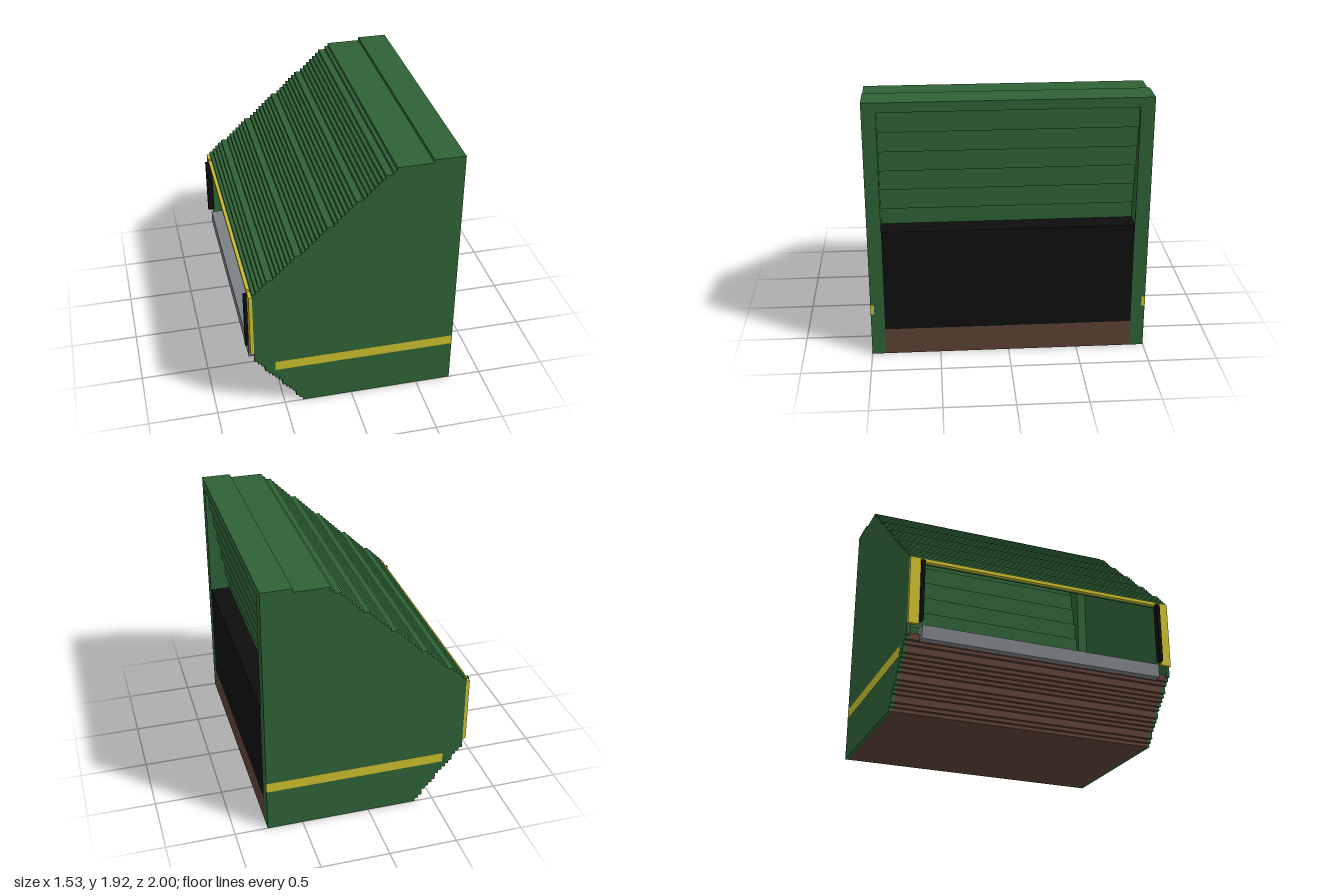
import * as THREE from 'three';

const U = 0.025; // step size of the staircase outlines

export function createModel() {
  const group = new THREE.Group();
  const mat = (name, color) => {
    const m = new THREE.MeshStandardMaterial({ color });
    m.name = name;
    return m;
  };
  const green = mat('green', 0x2d6135);
  const yellow = mat('yellow', 0xc9bc2d);
  const black = mat('black', 0x0e0e0e);
  const brown = mat('brown', 0x5c4033);
  const grey = mat('grey', 0x7b8084);

  const add = (name, geometry, material) => {
    const mesh = new THREE.Mesh(geometry, material);
    mesh.name = name;
    group.add(mesh);
    return mesh;
  };
  // Box given by its limits
  const box = (name, material, x0, x1, y0, y1, z0, z1) => {
    const g = new THREE.BoxGeometry(x1 - x0, y1 - y0, z1 - z0);
    g.translate((x0 + x1) / 2, (y0 + y1) / 2, (z0 + z1) / 2);
    return add(name, g, material);
  };
  // Side outline in x, y extruded between two z limits
  const slab = (name, material, points, z0, z1) => {
    const shape = new THREE.Shape(points.map(([x, y]) => new THREE.Vector2(x, y)));
    const g = new THREE.ExtrudeGeometry(shape, { depth: z1 - z0, bevelEnabled: false });
    g.translate(0, 0, z0);
    return add(name, g, material);
  };

  // Stepped roof line, with a double tread now and then
  const doubleTreads = [4, 11, 19, 26, 33];
  const roof = [];
  let x = -0.715;
  for (let i = 0; i <= 35; i++) {
    const y = 1.025 + i * U;
    roof.push([x, y]);
    x += doubleTreads.includes(i) ? 2 * U : U;
    if (i === 35) x = 0.54;
    roof.push([x, y]);
  }
  roof.push([0.54, 1.925], [0.76, 1.925]);

  // Stepped underside, with a double drop now and then
  const under = [];
  const doubleDrops = [2, 7, 11];
  let y = 0.425;
  x = -0.715;
  for (let i = 0; y > 0.001; i++) {
    under.push([x, y], [x + U, y]);
    x += U;
    y -= doubleDrops.includes(i) ? 2 * U : U;
  }
  under.push([x, 0]);

  // Hollow body: side walls and the roof between them
  const outline = [...roof, [0.76, 0], ...under.slice().reverse()];
  for (const [name, z] of [['leftWall', -1], ['rightWall', 0.975]]) {
    slab(name, green, outline, z, z + U);
  }
  const ceiling = roof.map(([px, py]) => [px, py - 0.05]).reverse();
  slab('roof', green, [...roof, ...ceiling], -0.975, 0.975);

  // Floor: stepped below, sloping in shallow steps above
  const floorTop = [];
  for (let i = 0; i <= 10; i++) {
    const h = 0.45 - i * U;
    floorTop.push([i ? -0.64 + i * 0.125 : -0.69, h], [Math.min(-0.515 + i * 0.125, 0.735), h]);
  }
  slab('floor', brown, [...floorTop, [0.735, 0], ...under.slice(2).reverse()], -0.975, 0.975);
  box('floorFront', brown, 0.735, 0.76, 0, 0.2, -0.9, 0.9);

  // Service side: black panel, header and overhanging slats
  box('panel', black, 0.6, 0.76, 0.2, 0.975, -0.9, 0.9);
  box('header', green, 0.6, 0.76, 1.855, 1.92, -0.975, 0.975);
  const slatEdges = [1.855, 1.705, 1.555, 1.405, 1.255, 1.1, 0.975];
  for (let i = 0; i < 6; i++) {
    const front = 0.735 - i * U;
    box('slat', green, front - 0.05, front, slatEdges[i + 1], slatEdges[i], -0.9, 0.9);
  }

  // Lip under the opening
  box('lip', grey, -0.74, -0.64, 0.425, 0.5, -0.9, 0.9);
  box('lipEdge', grey, -0.74, -0.69, 0.4, 0.425, -0.9, 0.9);

  // Frame around the opening
  box('frameTop', yellow, -0.74, -0.715, 0.975, 1, -0.9, 0.9);

  // Mirrored parts at both ends
  for (const s of [-1, 1]) {
    const pair = (name, material, x0, x1, y0, y1, a, b) =>
      box(name, material, x0, x1, y0, y1, Math.min(s * a, s * b), Math.max(s * a, s * b));
    pair('post', green, 0.735, 0.76, 0, 1.92, 0.9, 0.98);
    pair('postInside', green, 0.55, 0.735, 0.2, 1.9, 0.9, 0.98);
    pair('stripe', yellow, -0.565, 0.761, 0.325, 0.4, 0.974, 1.001);
    pair('frameSide', yellow, -0.74, -0.715, 0.5, 1, 0.925, 1);
    pair('guide', black, -0.765, -0.715, 0.525, 0.975, 0.9, 0.925);
  }
  return group;
}
